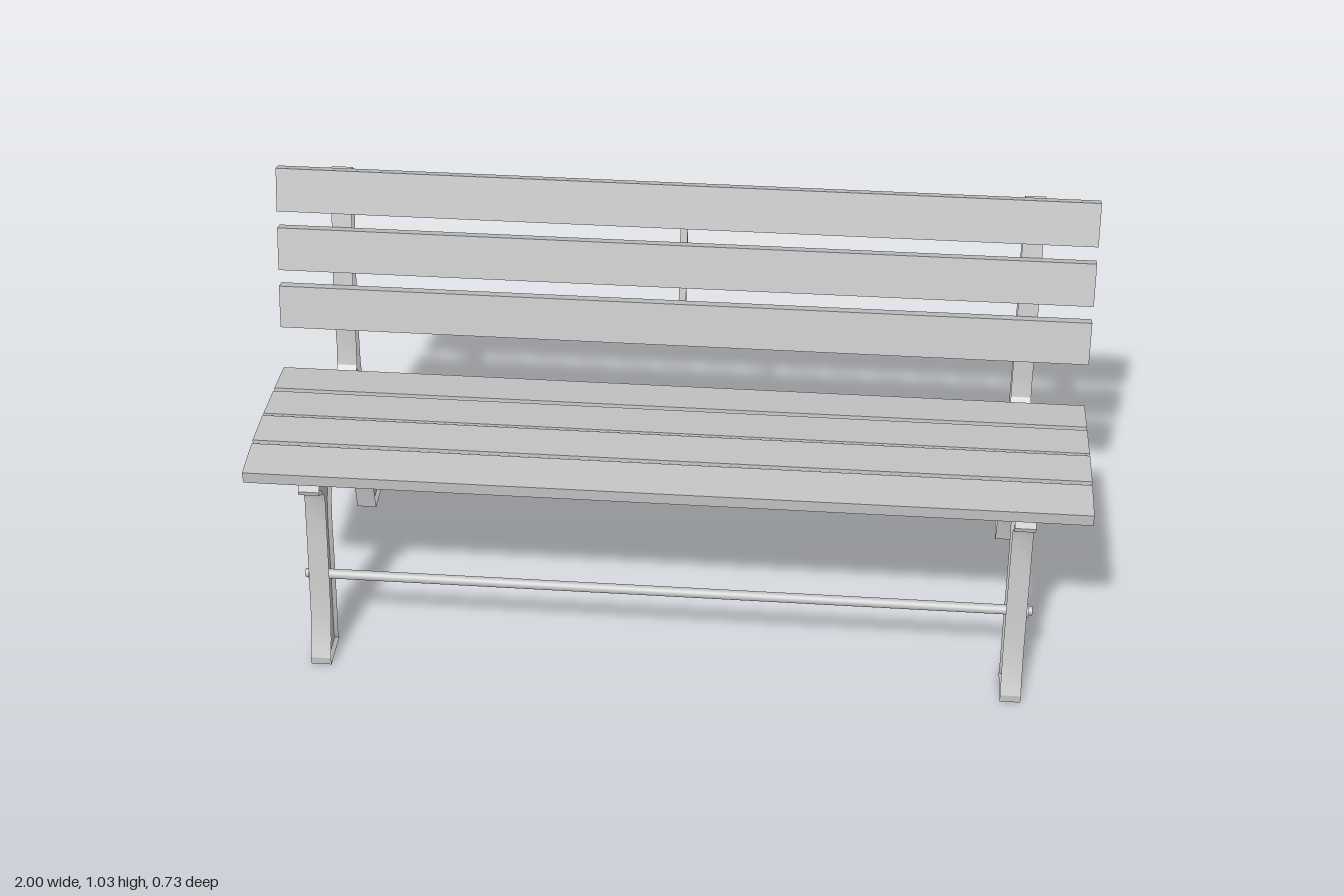
import * as THREE from 'three';
import { toCreasedNormals } from 'three/addons/utils/BufferGeometryUtils.js';

const grey = new THREE.MeshStandardMaterial({ color: 0xc4c4c4 });
grey.name = 'light grey';

// End frame outline as (z, y), from front foot over the seat and back to the inner arch
const FRAME = [
  [.365, 0], [.365, .02], [.343, .063], [.32, .13], [.302, .226], [.283, .335], [.267, .436],
  [.272, .458], [.294, .474], [.319, .49], [.321, .501], [.305, .51], [.234, .518], [.153, .52],
  [.016, .504], [-.161, .482], [-.188, .515], [-.202, .567], [-.207, .662], [-.223, .744],
  [-.275, .916], [-.308, 1.011], [-.322, 1.014], [-.335, 1.003], [-.311, .894], [-.27, .757],
  [-.25, .67], [-.24, .58], [-.232, .499], [-.237, .45], [-.251, .395], [-.289, .294],
  [-.324, .185], [-.351, .076], [-.365, .008], [-.365, 0], [-.267, 0], [-.256, .076],
  [-.229, .185], [-.193, .28], [-.153, .351], [-.104, .411], [-.054, .444], [.016, .46],
  [.084, .463], [.142, .455], [.177, .433], [.202, .395], [.218, .335], [.234, .213],
  [.251, .104], [.267, .027], [.262, 0],
].map(([z, y]) => new THREE.Vector2(z, y));

// Moves every corner of a counterclockwise outline inward by d
function inset(points, d) {
  const n = points.length;
  return points.map((p, i) => {
    const a = p.clone().sub(points[(i + n - 1) % n]).normalize();
    const b = points[(i + 1) % n].clone().sub(p).normalize();
    const na = new THREE.Vector2(-a.y, a.x), nb = new THREE.Vector2(-b.y, b.x);
    const k = d / Math.max(0.5, 1 + na.dot(nb));
    return p.clone().add(na.add(nb).multiplyScalar(k));
  });
}

// Cast frame: outer wall, sloped rim and a recessed panel on each side
function frameGeometry(half, web, rim) {
  const inner = inset(FRAME, rim), pos = [];
  const tri = (...corners) => corners.forEach(([p, z]) => pos.push(p.x, p.y, z));
  const quad = (a, b, c, d) => { tri(a, b, c); tri(a, c, d); };
  FRAME.forEach((p, i) => {
    const j = (i + 1) % FRAME.length, q = FRAME[j], pi = inner[i], qi = inner[j];
    quad([p, -half], [q, -half], [q, half], [p, half]);
    quad([p, half], [q, half], [qi, web], [pi, web]);
    quad([q, -half], [p, -half], [pi, -web], [qi, -web]);
  });
  for (const [a, b, c] of THREE.ShapeUtils.triangulateShape(inner, [])) {
    tri([inner[a], web], [inner[b], web], [inner[c], web]);
    tri([inner[c], -web], [inner[b], -web], [inner[a], -web]);
  }
  const g = new THREE.BufferGeometry();
  g.setAttribute('position', new THREE.Float32BufferAttribute(pos, 3));
  g.rotateY(-Math.PI / 2);
  return toCreasedNormals(g, 0.4);
}

export function createModel() {
  const bench = new THREE.Group();
  bench.name = 'bench';
  const add = (name, geometry, x, y, z) => {
    const mesh = new THREE.Mesh(geometry, grey);
    mesh.name = name;
    mesh.position.set(x, y, z);
    bench.add(mesh);
    return mesh;
  };

  // Seat slats: z, y, tilt
  const seat = new THREE.BoxGeometry(2, .03, .11);
  [[.264, .536, .05], [.144, .537, -.055], [.023, .526, -.1], [-.101, .512, -.125]]
    .forEach(([z, y, t], i) => { add(`seatSlat${i + 1}`, seat, 0, y, z).rotation.x = t; });

  // Backrest slats: z, y, tilt
  const back = new THREE.BoxGeometry(2, .108, .03);
  [[-.1945, .684, -.25], [-.234, .828, -.28], [-.2765, .9715, -.31]]
    .forEach(([z, y, t], i) => { add(`backSlat${i + 1}`, back, 0, y, z).rotation.x = t; });

  // End frames with the rod's washers and pins
  const frame = frameGeometry(.025, .016, .009);
  const cylinder = (r, l) => new THREE.CylinderGeometry(r, r, l, 20).rotateZ(Math.PI / 2);
  const washer = cylinder(.017, .02), pin = cylinder(.011, .03);
  for (const [side, s] of [['left', 1], ['right', -1]]) {
    add(`${side}Frame`, frame, s * .845, 0, 0);
    add(`${side}Washer`, washer, s * .866, .21, .268);
    add(`${side}Pin`, pin, s * .87, .21, .268);
  }
  add('crossRod', cylinder(.012, 1.68), 0, .21, .268);

  // Thin strap behind the middle of the backrest
  const front = [[-.198, .638], [-.222, .733], [-.233, .771], [-.263, .875], [-.274, .916], [-.302, 1.005]];
  const rear = front.map(([z, y]) => [z - .012, y - .003]).reverse();
  const shape = new THREE.Shape([...front, ...rear].map(([z, y]) => new THREE.Vector2(z, y)));
  const strap = new THREE.ExtrudeGeometry(shape, { depth: .018, bevelEnabled: false });
  strap.translate(0, 0, -.009).rotateY(-Math.PI / 2);
  add('backStrap', strap, 0, 0, 0);

  return bench;
}
